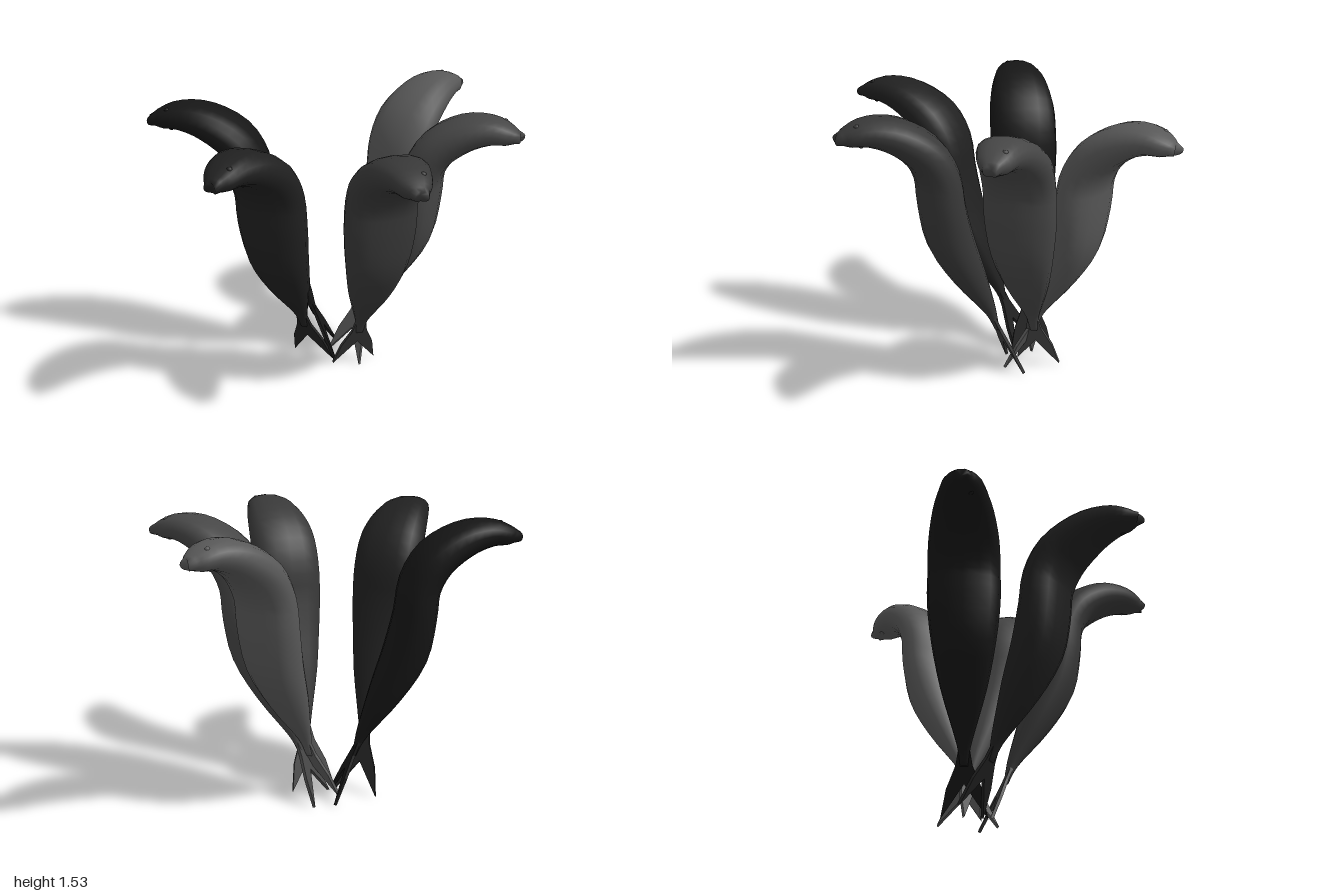
import * as THREE from 'three';

// Body stations from tail to mouth: outward distance, height, half thickness, half width
const STATIONS = [
  [0.035, 0.25, 0.012, 0.02], [0.06, 0.33, 0.024, 0.032], [0.095, 0.41, 0.042, 0.055],
  [0.2, 0.61, 0.09, 0.12], [0.297, 0.82, 0.118, 0.165], [0.342, 1.02, 0.112, 0.188],
  [0.365, 1.19, 0.108, 0.188], [0.443, 1.328, 0.105, 0.183], [0.58, 1.423, 0.092, 0.155],
  [0.71, 1.457, 0.073, 0.117], [0.81, 1.445, 0.052, 0.08], [0.865, 1.435, 0.027, 0.034],
];
const centre = new THREE.CatmullRomCurve3(STATIONS.map(s => new THREE.Vector3(s[0], s[1], 0)), false, 'catmullrom', 0.5);
const size = new THREE.CatmullRomCurve3(STATIONS.map(s => new THREE.Vector3(s[2], s[3], 0)), false, 'catmullrom', 0.5);

// Local frame of the bent body; the normal faces the inner, upper side
function frame(t) {
  const p = centre.getPoint(t), d = centre.getTangent(t), s = size.getPoint(t);
  return { p, d, n: new THREE.Vector3(-d.y, d.x, 0), a: s.x, b: s.y };
}

// Slightly fuller than an ellipse
const full = v => Math.sign(v) * Math.abs(v) ** 0.87;

function bodyGeometry(steps = 33, sides = 16) {
  const pos = [], index = [];
  for (let i = 0; i <= steps; i++) {
    const { p, d, n, a, b } = frame(i / steps);
    for (let j = 0; j < sides; j++) {
      const ang = (j / sides) * Math.PI * 2;
      const v = p.clone().addScaledVector(n, a * full(Math.cos(ang)));
      v.z += b * full(Math.sin(ang));
      // the two jaws stick out on either side of the mouth slit
      if (i === steps) v.addScaledVector(d, 0.025 * Math.abs(Math.sin(ang)) * (ang > Math.PI ? 1 : 0.7));
      pos.push(v.x, v.y, v.z);
    }
  }
  for (let i = 0; i < steps; i++) for (let j = 0; j < sides; j++) {
    const k = (j + 1) % sides, A = i * sides + j, B = i * sides + k;
    index.push(A, A + sides, B, B, A + sides, B + sides);
  }
  // mouth and tail caps
  const mouth = pos.length / 3, m = frame(1).p, e = frame(0).p;
  pos.push(m.x - 0.01, m.y, 0, e.x, e.y, 0);
  for (let j = 0; j < sides; j++) {
    const k = (j + 1) % sides;
    index.push(steps * sides + j, mouth, steps * sides + k, j, k, mouth + 1);
  }
  const g = new THREE.BufferGeometry();
  g.setAttribute('position', new THREE.Float32BufferAttribute(pos, 3));
  g.setIndex(index);
  g.computeVertexNormals();
  return g;
}

// Forked tail fin, spread across the width of the body
function tailGeometry() {
  const half = [[0.028, 0], [0.043, -0.09], [0.092, -0.21], [0.122, -0.362], [0.055, -0.265]];
  const shape = new THREE.Shape([
    ...half, [0, -0.185], ...half.map(([x, y]) => [-x, y]).reverse(),
  ].map(q => new THREE.Vector2(...q)));
  const g = new THREE.ExtrudeGeometry(shape, { depth: 0.016, bevelEnabled: false });
  return g.translate(0, 0, -0.008).rotateY(Math.PI / 2).rotateZ(-0.4).translate(0.064, 0.34, 0);
}

export function createModel() {
  const model = new THREE.Group();
  const body = bodyGeometry(), tail = tailGeometry();
  const eye = new THREE.SphereGeometry(0.016, 12, 8);

  // root x, root z, tip x, tip z, colour
  const fishes = [
    [0.11, -0.07, 0.995, -0.08, 0x585858],
    [0.155, -0.07, 0.51, 0.73, 0x464646],
    [0.02, 0.05, -0.39, 0.84, 0x383838],
    [-0.13, -0.2, -0.995, 0.09, 0x202020],
    [0.0, -0.22, -0.642, -0.843, 0x161616],
  ];

  fishes.forEach(([x, z, tx, tz, color], i) => {
    const material = new THREE.MeshStandardMaterial({ color, side: THREE.DoubleSide });
    const fish = new THREE.Group();
    fish.name = 'fish' + (i + 1);
    const add = (name, geometry) => {
      const mesh = new THREE.Mesh(geometry, material);
      mesh.name = name;
      fish.add(mesh);
      return mesh;
    };
    add('body', body);
    add('tailFin', tail);

    // an eye on each flank
    for (const side of [1, -1]) {
      const f = frame(0.87);
      const ball = add('eye', eye);
      ball.position.copy(f.p).addScaledVector(f.n, side * (f.a * 0.92 - 0.011));
      ball.position.z = -f.b * 0.45;
    }

    // each fish leans out from its root to reach its own tip
    fish.position.set(x, 0, z);
    fish.rotation.y = Math.atan2(z - tz, tx - x);
    fish.scale.x = Math.hypot(tx - x, tz - z) / 0.89;
    model.add(fish);
  });
  return model;
}
